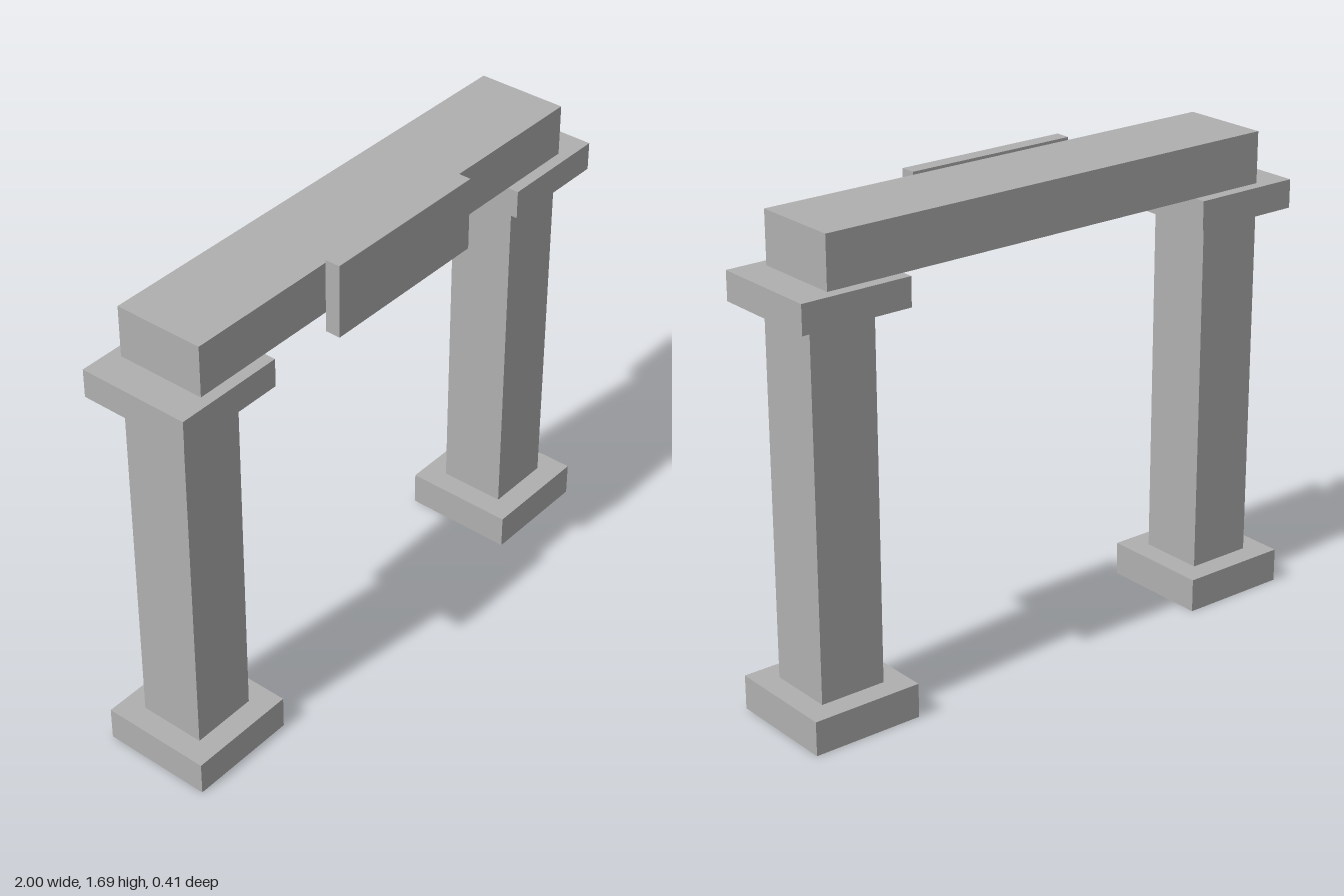
import * as THREE from 'three';

export function createModel() {
  const model = new THREE.Group();
  model.name = 'gateway';

  const stone = new THREE.MeshStandardMaterial({ color: 0xb0b0b0 });
  stone.name = 'grey stone';

  // Adds a box given its centre x and z, bottom y and size
  function block(parent, name, [w, h, d], x, bottom, z) {
    const mesh = new THREE.Mesh(new THREE.BoxGeometry(w, h, d), stone);
    mesh.name = name;
    mesh.position.set(x, bottom + h / 2, z);
    parent.add(mesh);
  }

  const axisZ = -0.007; // pillars and beam share this depth

  // Two pillars, each with base, shaft and capital
  for (const side of [1, -1]) {
    const pillar = new THREE.Group();
    pillar.name = side > 0 ? 'leftPillar' : 'rightPillar';
    pillar.position.set(side * 0.8, 0, axisZ);
    block(pillar, 'base', [0.4, 0.12, 0.4], 0, 0, 0);
    block(pillar, 'shaft', [0.24, 1.28, 0.24], 0, 0.12, 0);
    block(pillar, 'capital', [0.4, 0.1, 0.4], 0, 1.4, 0);
    model.add(pillar);
  }

  // Beam across the capitals, with a plaque on its front
  block(model, 'lintel', [1.76, 0.18, 0.32], 0, 1.5, axisZ);
  block(model, 'plaque', [0.64, 0.26, 0.054], 0, 1.43, 0.18);

  return model;
}
